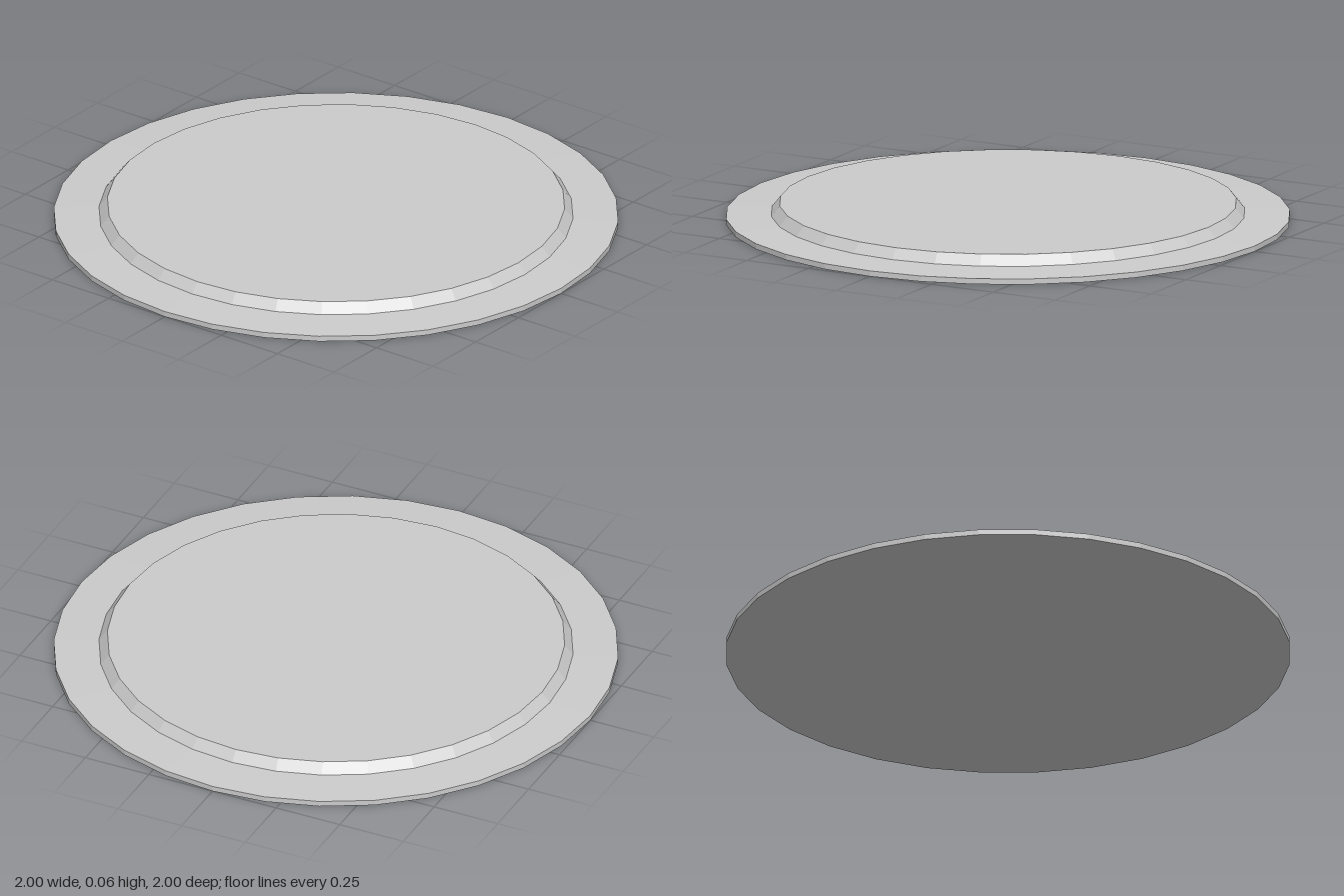
import * as THREE from 'three';

const SIDES = 32;

export function createModel() {
  const group = new THREE.Group();
  group.name = 'roundPlate';

  // Radius and height pairs: flat base, thin sloping rim, bevelled raised disc
  const profile = [
    [0, 0], [1, 0], [1, 0.02], [0.84, 0.028], [0.81, 0.065], [0, 0.065],
  ].map(([r, y]) => new THREE.Vector2(r, y));

  const material = new THREE.MeshStandardMaterial({ color: 0xcccccc, flatShading: true });
  const plate = new THREE.Mesh(new THREE.LatheGeometry(profile, SIDES), material);
  plate.name = 'plate';
  group.add(plate);

  return group;
}
